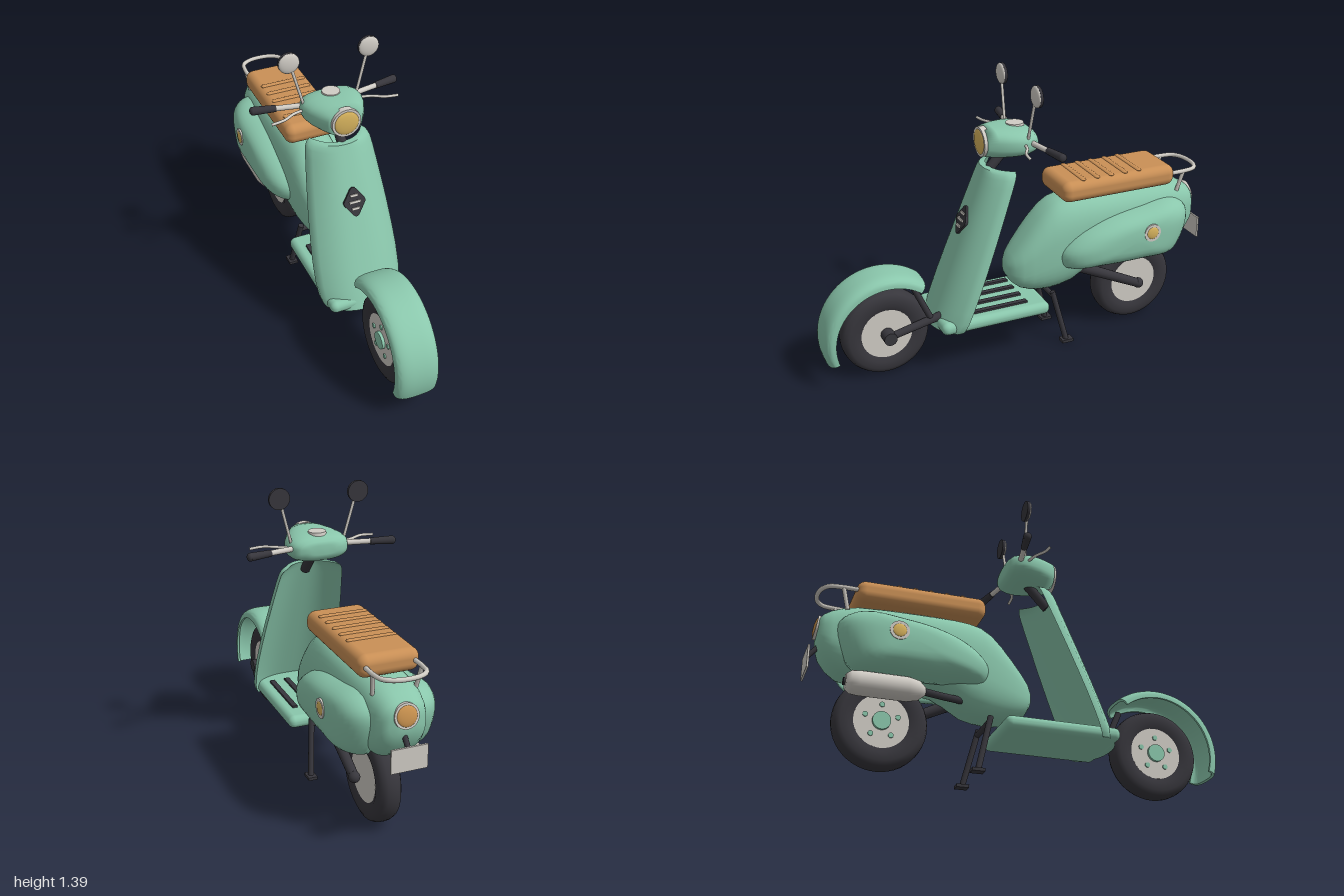
import * as THREE from 'three';
import { toCreasedNormals } from 'three/addons/utils/BufferGeometryUtils.js';
import { RoundedBoxGeometry } from 'three/addons/geometries/RoundedBoxGeometry.js';

const mat = (name, color) => {
  const m = new THREE.MeshStandardMaterial({ color });
  m.name = name;
  return m;
};
const V = (x, y, z) => new THREE.Vector3(x, y, z);
const spow = (v, e) => Math.sign(v) * Math.abs(v) ** e;

// Skin a list of closed rings and cap both ends with strips
function loft(rings, crease = 0) {
  const n = rings[0].length, pos = [], idx = [];
  rings.forEach(r => r.forEach(p => pos.push(p.x, p.y, p.z)));
  for (let i = 0; i < rings.length - 1; i++) for (let j = 0; j < n; j++) {
    const a = i * n + j, b = i * n + (j + 1) % n;
    idx.push(a, b, a + n, b, b + n, a + n);
  }
  const o = (rings.length - 1) * n;
  for (let j = 0; j < n / 2 - 1; j++) {
    const a = j, b = j + 1, c = n - 2 - j, d = n - 1 - j;
    idx.push(a, c, b, a, d, c, o + a, o + b, o + c, o + a, o + c, o + d);
  }
  const g = new THREE.BufferGeometry();
  g.setAttribute('position', new THREE.Float32BufferAttribute(pos, 3));
  g.setIndex(idx);
  g.computeVertexNormals();
  return crease ? toCreasedNormals(g, crease) : g;
}

// Loft from back to front through [z, bottom, top, halfWidth] stations
function hull(stations, e) {
  const ring = ([z, lo, hi, w]) => Array.from({ length: 40 }, (_, j) => {
    const a = j / 40 * Math.PI * 2;
    return V(w * spow(Math.cos(a), e), (lo + hi) / 2 + (hi - lo) / 2 * spow(Math.sin(a), e), z);
  });
  return loft(stations.map(ring));
}

export function createModel() {
  const paint = mat('mintPaint', 0x8ac7ac), dark = mat('darkRubber', 0x37363c);
  const silver = mat('silver', 0xd0ccc5), tan = mat('tanLeather', 0xca9056);
  const gold = mat('goldLens', 0xd8b45e), amber = mat('amberLens', 0xcc9450);
  const root = new THREE.Group();
  root.name = 'scooter';

  const add = (name, geo, m, x = 0, y = 0, z = 0, parent = root) => {
    const mesh = new THREE.Mesh(geo, m);
    mesh.name = name;
    mesh.position.set(x, y, z);
    parent.add(mesh);
    return mesh;
  };
  const group = (name, x, y, z) => {
    const g = new THREE.Group();
    g.name = name;
    g.position.set(x, y, z);
    root.add(g);
    return g;
  };
  const rod = (name, m, a, b, r1, r2 = r1) => {
    const d = b.clone().sub(a);
    const mesh = add(name, new THREE.CylinderGeometry(r2, r1, d.length(), 16), m);
    mesh.position.copy(a).addScaledVector(d, 0.5);
    mesh.quaternion.setFromUnitVectors(V(0, 1, 0), d.normalize());
  };
  const tube = (name, m, pts, r) =>
    add(name, new THREE.TubeGeometry(new THREE.CatmullRomCurve3(pts), 40, r, 10), m);
  const discX = (r, h) => new THREE.CylinderGeometry(r, r, h, 32).rotateZ(Math.PI / 2);
  const discZ = (r, h) => new THREE.CylinderGeometry(r, r, h, 32).rotateX(Math.PI / 2);
  const ball = (r, sx, sy, sz) => new THREE.SphereGeometry(r, 32, 16).scale(sx, sy, sz);

  // Wheels, with hub and bolts on the open side
  const tyre = [[.122, -.042], [.15, -.054], [.185, -.053], [.206, -.042], [.215, -.022], [.217, 0],
    [.215, .022], [.206, .042], [.185, .053], [.15, .054], [.122, .042]].map(p => new THREE.Vector2(...p));
  for (const [name, z] of [['frontWheel', .69], ['rearWheel', -.646]]) {
    const w = group(name, 0, .217, z);
    add('tyre', new THREE.LatheGeometry(tyre, 48).rotateZ(Math.PI / 2), dark, 0, 0, 0, w);
    add('rim', discX(.126, .088), silver, 0, 0, 0, w);
    add('hub', discX(.042, .06), paint, -.028, 0, 0, w);
    for (let i = 0; i < 5; i++) {
      const a = i / 5 * Math.PI * 2;
      add('bolt', discX(.012, .05), paint, -.025, .078 * Math.cos(a), .078 * Math.sin(a), w);
    }
  }

  // Front fender: arched channel swept round the wheel
  const fenderRings = [];
  for (let i = 0; i <= 36; i++) {
    const t = THREE.MathUtils.degToRad(-18 + 146 * i / 36), ring = [];
    for (const [w, h, dir] of [[.105, .05, 1], [.093, .037, -1]])
      for (let j = 0; j <= 20; j++) {
        const a = Math.PI * (dir > 0 ? 1 - j / 20 : j / 20);
        const r = .262 + h * spow(Math.max(0, Math.sin(a)), .65);
        ring.push(V(w * spow(Math.cos(a), .65), .22 + r * Math.sin(t), .69 + r * Math.cos(t)));
      }
    fenderRings.push(ring);
  }
  add('frontFender', loft(fenderRings, .9), paint);

  // Single-sided front link, fender strut and rear swing arm
  rod('frontLink', dark, V(.08, .217, .69), V(.075, .275, .42), .018, .021);
  add('frontAxleCap', discX(.032, .06), dark, .075, .217, .69);
  rod('fenderStrut', dark, V(.075, .45, .56), V(.075, .26, .475), .015);
  rod('swingArm', dark, V(.085, .4, -.27), V(.09, .22, -.646), .028, .023);
  add('rearAxleCap', ball(.027, 1, 1, 1), dark, .09, .22, -.65);

  // Leg shield, edges swept back
  const shieldZ = y => .447 - .389 * (y - .278);
  const shieldRows = [[.214, .186], [.235, .198], [.265, .206], [.32, .211], [.42, .211], [.52, .205], [.65, .194],
    [.8, .177], [.9, .164], [.94, .157], [.96, .148], [.972, .13]];
  add('legShield', loft(shieldRows.map(([y, w]) => {
    const ring = [];
    for (const dir of [1, -1]) for (let j = 0; j <= 20; j++) {
      const u = dir * (j / 10 - 1);
      ring.push(V(w * u, y, shieldZ(y) - .085 * Math.abs(u) ** 2.6 - (dir < 0 ? .032 : 0)));
    }
    return ring;
  }), .9), paint);

  // Diamond badge with three bars
  const badge = group('badge', 0, .715, shieldZ(.715));
  badge.rotation.x = -Math.atan(.389);
  const dia = new THREE.Shape();
  dia.moveTo(-.014, -.064);
  dia.quadraticCurveTo(0, -.078, .014, -.064).lineTo(.05, -.012);
  dia.quadraticCurveTo(.058, 0, .05, .012).lineTo(.014, .064);
  dia.quadraticCurveTo(0, .078, -.014, .064).lineTo(-.05, .012);
  dia.quadraticCurveTo(-.058, 0, -.05, -.012);
  add('badgePlate', new THREE.ExtrudeGeometry(dia, { depth: .022, bevelEnabled: false }), dark, 0, 0, -.012, badge);
  for (const [y, w] of [[-.032, .038], [0, .056], [.032, .038]])
    add('badgeBar', new THREE.BoxGeometry(w, .012, .01), silver, 0, y, .012, badge);

  // Floorboard with rubber strips
  add('floorboard', new RoundedBoxGeometry(.37, .064, .56, 5, .03), paint, 0, .241, .175);
  for (const x of [-.12, -.04, .04, .12])
    add('floorStrip', new THREE.BoxGeometry(.026, .014, .33), dark, x, .276, .165);

  // Main body
  add('body', hull([[-.96, .58, .66, .035], [-.954, .545, .68, .075], [-.935, .495, .703, .103],
    [-.9, .45, .724, .12], [-.85, .415, .742, .135], [-.78, .402, .755, .145], [-.65, .4, .76, .15],
    [-.5, .398, .762, .15], [-.4, .382, .762, .15], [-.33, .345, .762, .15], [-.26, .3, .758, .147],
    [-.2, .285, .745, .143], [-.15, .28, .715, .138], [-.1, .282, .665, .13], [-.05, .29, .605, .12],
    [0, .31, .54, .105], [.035, .34, .495, .08], [.055, .375, .46, .05], [.062, .41, .44, .02]], .75), paint);

  // Side cowls with round lamps
  const outline = new THREE.CatmullRomCurve3([[-.8, .69], [-.6, .68], [-.4, .645], [-.25, .58], [-.175, .5],
    [-.195, .425], [-.35, .405], [-.6, .4], [-.8, .412], [-.865, .51], [-.88, .63]]
    .map(([z, y]) => V(0, y, z)), true).getPoints(48).slice(0, 48);
  for (const s of [1, -1]) {
    const rings = [];
    for (let k = 0; k <= 10; k++) {
      const a = k / 10 * Math.PI * .495, f = Math.cos(a) ** .55;
      const ring = outline.map(p => V(s * (.1 + .145 * Math.sin(a)), .545 + (p.y - .545) * f, -.56 + (p.z + .56) * f));
      rings.push(s > 0 ? ring : ring.reverse());
    }
    add('sideCowl', loft(rings), paint);
    add('sideLampRing', discX(.045, .03), silver, s * .232, .575, -.625);
    add('sideLamp', ball(.032, .25, 1, 1), gold, s * .245, .575, -.625);
  }

  // Ribbed seat
  add('seat', new RoundedBoxGeometry(.286, .105, .615, 6, .042), tan, 0, .8095, -.498);
  for (let i = 0; i < 5; i++)
    add('seatRib', new THREE.CapsuleGeometry(.014, .21, 6, 12).rotateZ(Math.PI / 2).scale(1, .5, 1),
      tan, 0, .861, -.305 - .076 * i);

  // Grab rail
  tube('grabRail', silver, [V(-.113, .813, -.79), V(-.113, .814, -.87), V(-.1, .815, -.93), V(-.05, .815, -.962),
    V(.05, .815, -.962), V(.1, .815, -.93), V(.113, .814, -.87), V(.113, .813, -.79)], .011);
  for (const x of [-.112, .112]) rod('railLeg', silver, V(x, .81, -.865), V(x * .9, .71, -.84), .01);

  // Tail lamp, tilted slightly upward, and number plate
  const tail = group('tailLight', 0, .645, -.95);
  tail.rotation.x = .17;
  add('tailLampRing', discZ(.057, .03), silver, 0, 0, 0, tail);
  add('tailLamp', ball(.048, 1, 1, .25), amber, 0, 0, -.012, tail);
  rod('plateBracket', dark, V(0, .58, -.92), V(0, .5, -.99), .012);
  add('numberPlate', new THREE.BoxGeometry(.17, .11, .009), silver, 0, .467, -.995);

  // Muffler
  const muffler = [[0, -.18], [.035, -.178], [.052, -.155], [.056, -.12], [.056, .1], [.045, .15], [.02, .18], [0, .18]];
  add('muffler', new THREE.LatheGeometry(muffler.map(p => new THREE.Vector2(...p)), 28).rotateX(Math.PI / 2),
    silver, -.135, .345, -.655);
  add('mufflerTip', discZ(.017, .02), dark, -.135, .345, -.833);
  tube('exhaustPipe', dark, [V(-.135, .345, -.49), V(-.12, .34, -.4), V(-.07, .35, -.28)], .017);

  // Steering column and headset
  rod('steeringColumn', dark, V(0, .93, .16), V(0, 1.06, .04), .024);
  add('headset', hull([[-.07, 1.07, 1.115, .07], [-.064, 1.05, 1.132, .108], [-.045, 1.036, 1.147, .134],
    [-.01, 1.027, 1.156, .148], [.03, 1.023, 1.16, .149], [.08, 1.022, 1.162, .136], [.13, 1.023, 1.162, .112],
    [.172, 1.027, 1.16, .085]], .75), paint);
  add('headlampRing', discZ(.071, .03), silver, 0, 1.094, .173);
  add('headlamp', ball(.06, 1, 1, .2), gold, 0, 1.094, .186);
  add('speedometer', new THREE.CylinderGeometry(.042, .045, .016, 32), silver, 0, 1.157, .008);

  for (const s of [1, -1]) {
    // Handlebar, grip and lever
    rod('handlebar', silver, V(s * .1, 1.1, -.015), V(s * .26, 1.1, -.046), .013);
    rod('grip', dark, V(s * .25, 1.1, -.045), V(s * .356, 1.1, -.065), .016, .02);
    add('gripEnd', ball(.02, .75, 1, 1), dark, s * .356, 1.1, -.065);
    tube('lever', silver, [V(s * .12, 1.095, .01), V(s * .19, 1.1, .03), V(s * .25, 1.1, .062), V(s * .315, 1.095, .068)], .007);
    // Mirror
    rod('mirrorStalk', silver, V(s * .13, 1.11, 0), V(s * .182, 1.305, -.008), .007);
    add('mirrorShell', ball(.05, 1, 1, .28), silver, s * .195, 1.342, -.008);
    add('mirrorGlass', discZ(.0505, .014), dark, s * .195, 1.342, -.016);
    // Stand
    rod('standLeg', dark, V(s * .095, .28, -.155), V(s * .125, .01, -.22), .014);
    add('standFoot', new THREE.BoxGeometry(.045, .015, .06), dark, s * .125, .0075, -.222);
  }
  rod('standCrossbar', dark, V(-.1, .255, -.16), V(.1, .255, -.16), .014);

  return root;
}
